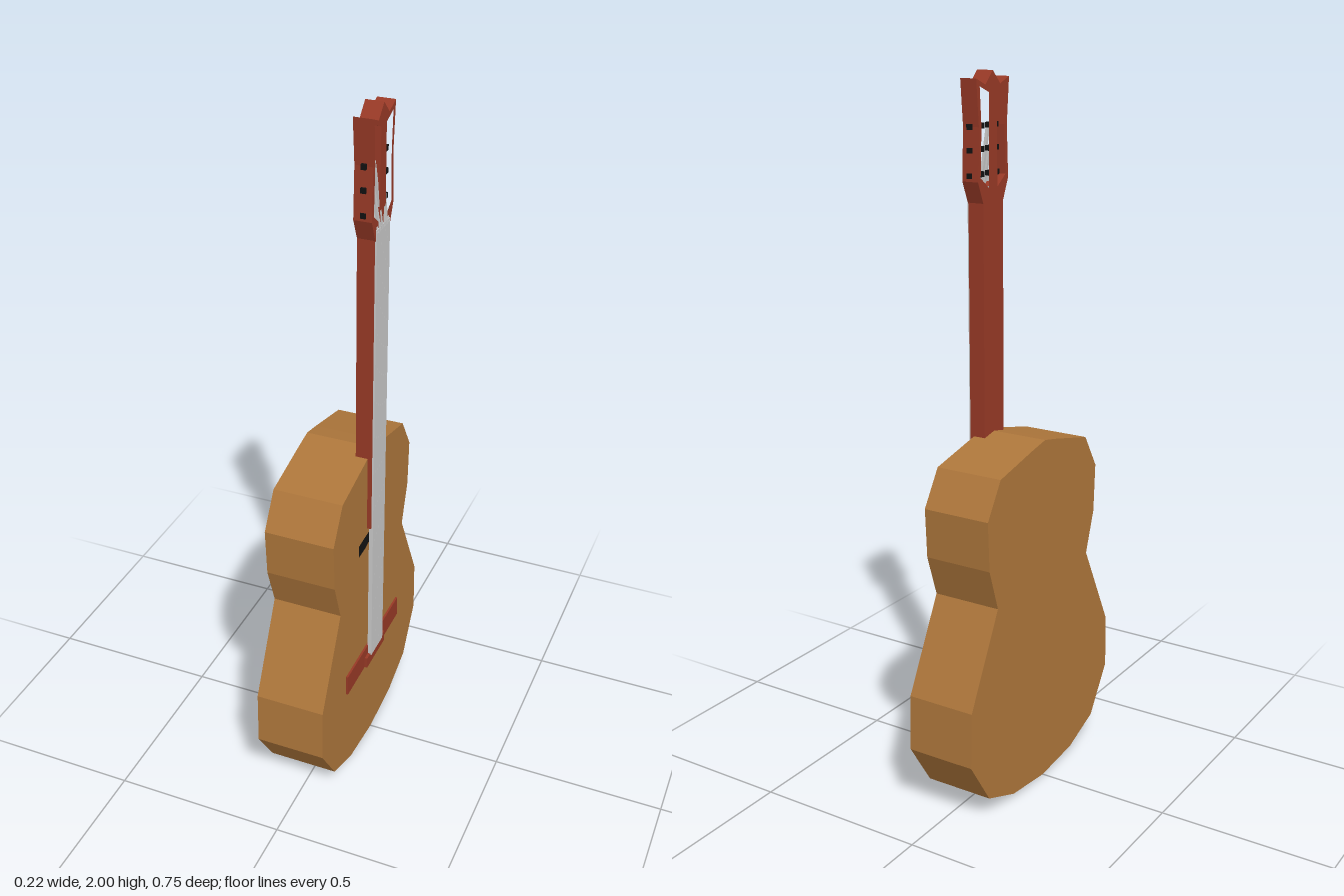
import * as THREE from 'three';

export function createModel() {
  const guitar = new THREE.Group();
  guitar.name = 'guitar';
  const material = (name, color) => {
    const m = new THREE.MeshStandardMaterial({ color });
    m.name = name;
    return m;
  };
  const wood = material('tan wood', 0xad763b);
  const red = material('red wood', 0x973926);
  const steel = material('string grey', 0xc8c8c8);
  const black = material('black', 0x111111);

  const add = (name, geometry, mat) => {
    const mesh = new THREE.Mesh(geometry, mat);
    mesh.name = name;
    guitar.add(mesh);
    return mesh;
  };
  // box given by its extents on each axis
  const box = (name, mat, [x0, x1], [y0, y1], [z0, z1]) => {
    const mesh = add(name, new THREE.BoxGeometry(x1 - x0, y1 - y0, z1 - z0), mat);
    mesh.position.set((x0 + x1) / 2, (y0 + y1) / 2, (z0 + z1) / 2);
    return mesh;
  };
  const points = list => list.map(([u, v]) => new THREE.Vector2(u, v));
  // closed symmetric outline from one half, listed top to bottom
  const mirrored = half => points([
    ...half,
    ...half.filter(p => p[0] > 0).reverse().map(([u, v]) => [-u, v]),
  ]);
  // flat outline in the z-y plane, extruded along x
  const slab = (name, mat, outline, x0, x1, holes = []) => {
    const shape = new THREE.Shape(outline);
    holes.forEach(h => shape.holes.push(new THREE.Path(h)));
    const geometry = new THREE.ExtrudeGeometry(shape, { depth: x1 - x0, bevelEnabled: false });
    geometry.rotateY(Math.PI / 2);
    geometry.translate(x0, 0, 0);
    return add(name, geometry, mat);
  };

  // body with a recessed sound hole
  const bodyOutline = mirrored([
    [0, 1.03], [0.06, 1.018], [0.225, 0.98], [0.287, 0.88], [0.28, 0.74], [0.24, 0.62],
    [0.37, 0.365], [0.375, 0.205], [0.287, 0.07], [0.16, 0.02], [0, 0.003],
  ]);
  const holeOutline = mirrored([
    [0.06, 0.768], [0.108, 0.765], [0.106, 0.705], [0.095, 0.64], [0.06, 0.633],
  ]);
  slab('bodyBack', wood, bodyOutline, -0.11, 0.04);
  slab('bodyFront', wood, bodyOutline, 0.04, 0.09, [holeOutline]);
  slab('soundHole', black, holeOutline, 0.035, 0.043);

  // bridge, saddle and neck
  box('bridge', red, [0.088, 0.096], [0.3, 0.365], [-0.2, 0.2]);
  box('saddle', red, [0.088, 0.104], [0.3, 0.335], [-0.07, 0.07]);
  box('neck', red, [0.055, 0.102], [0.79, 1.68], [-0.048, 0.048]);

  // slotted headstock
  const headOutline = mirrored([
    [0, 2.0], [0.035, 1.965], [0.078, 1.982], [0.067, 1.86], [0.073, 1.72], [0.047, 1.66],
  ]);
  const slots = [1, -1].map(s => points([
    [0.018 * s, 1.945], [0.062 * s, 1.962], [0.055 * s, 1.86], [0.06 * s, 1.73], [0.02 * s, 1.7],
  ]));
  slab('headstock', red, headOutline, 0.055, 0.104, slots);

  // strings run side by side, then fan out to the tuning posts
  const postHeights = [1.86, 1.8, 1.735];
  for (const s of [1, -1]) {
    postHeights.forEach((y, i) => {
      box('tuningPost', black, [0.074, 0.088], [y - 0.007, y + 0.007],
        s > 0 ? [0.012, 0.076] : [-0.076, -0.012]);
      const z = s * (0.0075 + i * 0.015);
      box('string', steel, [0.095, 0.107], [0.33, 1.69], [z - 0.0074, z + 0.0074]);
      const from = new THREE.Vector3(0.104, 1.68, z);
      const to = new THREE.Vector3(0.09, y, s * (0.03 + i * 0.005));
      const tail = add('stringTail', new THREE.BoxGeometry(0.008, from.distanceTo(to), 0.009), steel);
      tail.position.copy(from).add(to).multiplyScalar(0.5);
      tail.quaternion.setFromUnitVectors(new THREE.Vector3(0, 1, 0), to.sub(from).normalize());
    });
  }
  return guitar;
}
